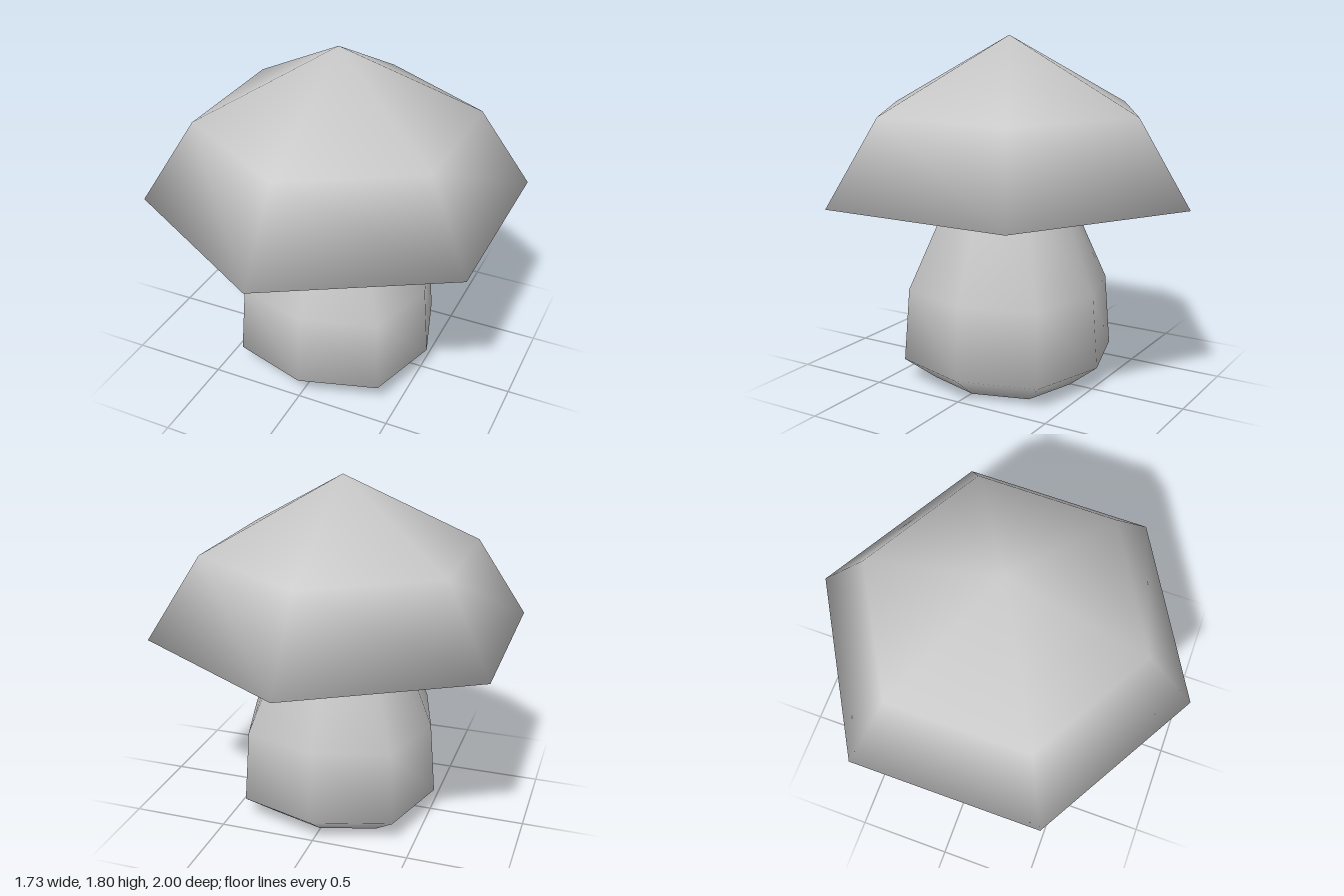
import * as THREE from 'three';
import { mergeVertices } from 'three/addons/utils/BufferGeometryUtils.js';

// Smooth normals, each face weighted by its angle at the corner
function smooth(geometry) {
  const pos = geometry.attributes.position, index = geometry.index.array;
  const point = (i) => new THREE.Vector3().fromBufferAttribute(pos, i);
  const sums = Array.from({ length: pos.count }, () => new THREE.Vector3());
  for (let f = 0; f < index.length; f += 3) {
    const ids = [index[f], index[f + 1], index[f + 2]];
    const p = ids.map(point);
    const normal = p[1].clone().sub(p[0]).cross(p[2].clone().sub(p[0]));
    if (normal.length() < 1e-8) continue;
    normal.normalize();
    for (let c = 0; c < 3; c++) {
      const u = p[(c + 1) % 3].clone().sub(p[c]);
      const v = p[(c + 2) % 3].clone().sub(p[c]);
      sums[ids[c]].addScaledVector(normal, u.angleTo(v));
    }
  }
  const normals = sums.flatMap((n) => n.normalize().toArray());
  geometry.setAttribute('normal', new THREE.Float32BufferAttribute(normals, 3));
  return geometry;
}

// Closed-bottom loft through rings of [height, even-corner radius, odd-corner radius]
function loft(rings, sides) {
  const positions = [], index = [];
  for (const [y, even, odd] of rings) {
    for (let k = 0; k < sides; k++) {
      const t = (k / sides) * Math.PI * 2, r = k % 2 ? odd : even;
      positions.push(r * Math.sin(t), y, r * Math.cos(t));
    }
  }
  for (let j = 0; j < rings.length - 1; j++) {
    for (let k = 0; k < sides; k++) {
      const a = j * sides + k, b = j * sides + ((k + 1) % sides);
      index.push(a, b, a + sides);
      if (rings[j + 1][1] > 0) index.push(b, b + sides, a + sides);
    }
  }
  for (let k = 1; k < sides - 1; k++) index.push(0, k + 1, k);
  const geometry = new THREE.BufferGeometry();
  geometry.setAttribute('position', new THREE.Float32BufferAttribute(positions, 3));
  geometry.setIndex(index);
  return smooth(mergeVertices(geometry));
}

export function createModel() {
  const group = new THREE.Group();
  group.name = 'mushroom';
  const material = new THREE.MeshStandardMaterial({ color: 0xcccccc });

  // Six-sided cap with a flat underside
  const cap = new THREE.Mesh(loft([
    [1, 1, 1],
    [1.425, 0.725, 0.725],
    [1.8, 0, 0],
  ], 6), material);
  cap.name = 'cap';

  // Eight-sided stem, bulging most at its diagonal corners
  const stem = new THREE.Mesh(loft([
    [0, 0.37, 0.4],
    [0.12, 0.523, 0.568],
    [0.5, 0.494, 0.538],
    [1, 0.302, 0.31],
  ], 8), material);
  stem.name = 'stem';
  stem.position.set(0.005, 0, -0.005);

  group.add(cap, stem);
  return group;
}
